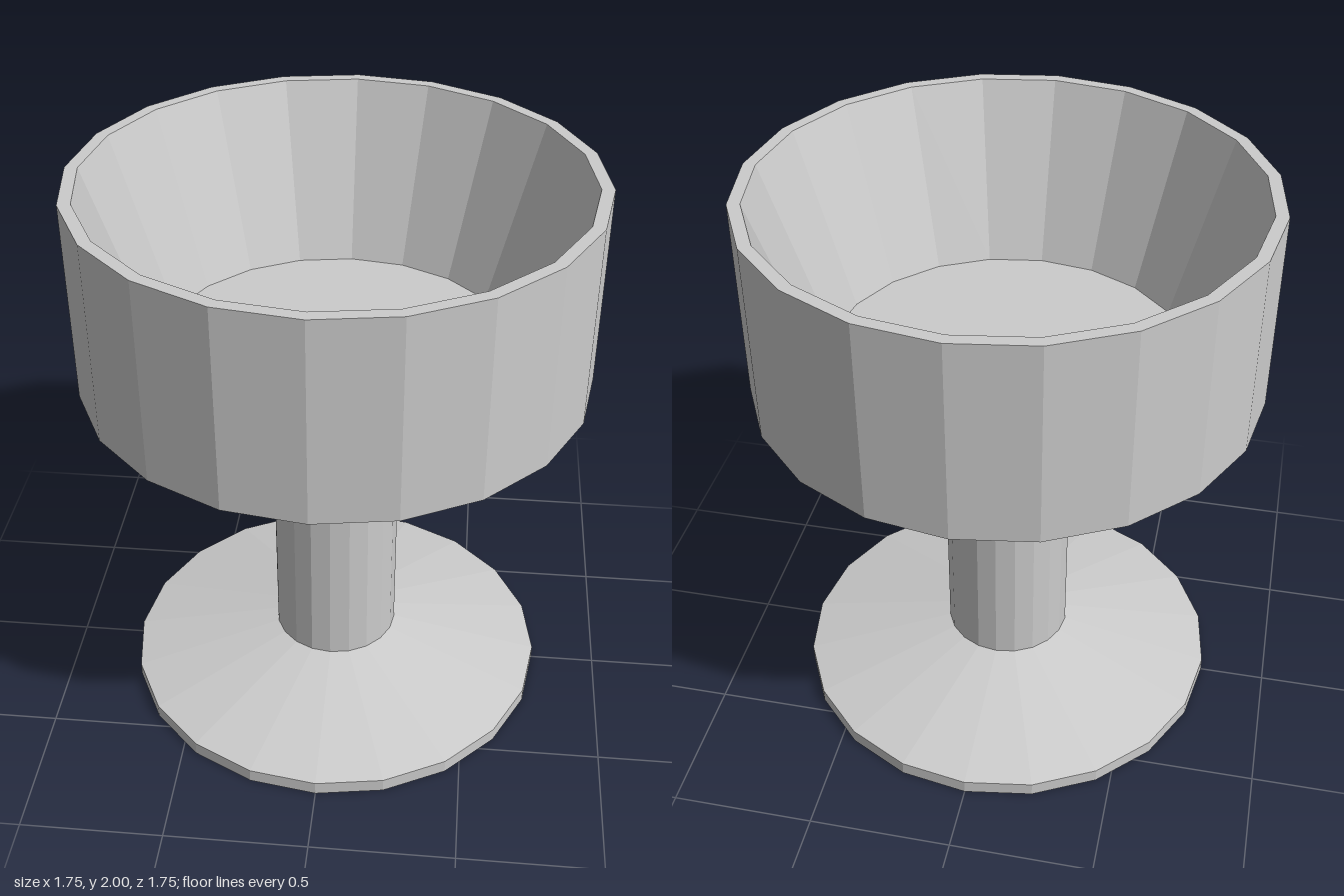
import * as THREE from 'three';

const SIDES = 20;

// Faceted turned part; the profile runs [radius, height] up the outside.
function turned(name, profile) {
  const points = profile.map(([r, y]) => new THREE.Vector2(r, y));
  const mesh = new THREE.Mesh(
    new THREE.LatheGeometry(points, SIDES),
    new THREE.MeshStandardMaterial({ color: 0xcccccc, flatShading: true })
  );
  mesh.name = name;
  return mesh;
}

export function createModel() {
  const group = new THREE.Group();
  group.name = 'goblet';

  const stemRadius = 0.225, stemBottom = 0.17, stemTop = 1.225;

  // Flat foot with a thin rim sloping up to the stem
  group.add(turned('foot', [[0, 0], [0.765, 0], [0.765, 0.05], [stemRadius, stemBottom]]));

  // Straight stem
  group.add(turned('stem', [[stemRadius, stemBottom], [stemRadius, stemTop]]));

  // Bowl: shallow underside, upright wall, narrow lip, tapered inside, flat floor
  group.add(turned('bowl', [
    [stemRadius, stemTop], [0.875, 1.3], [0.875, 2],
    [0.832, 2], [0.62, 1.38], [0, 1.38],
  ]));

  return group;
}
